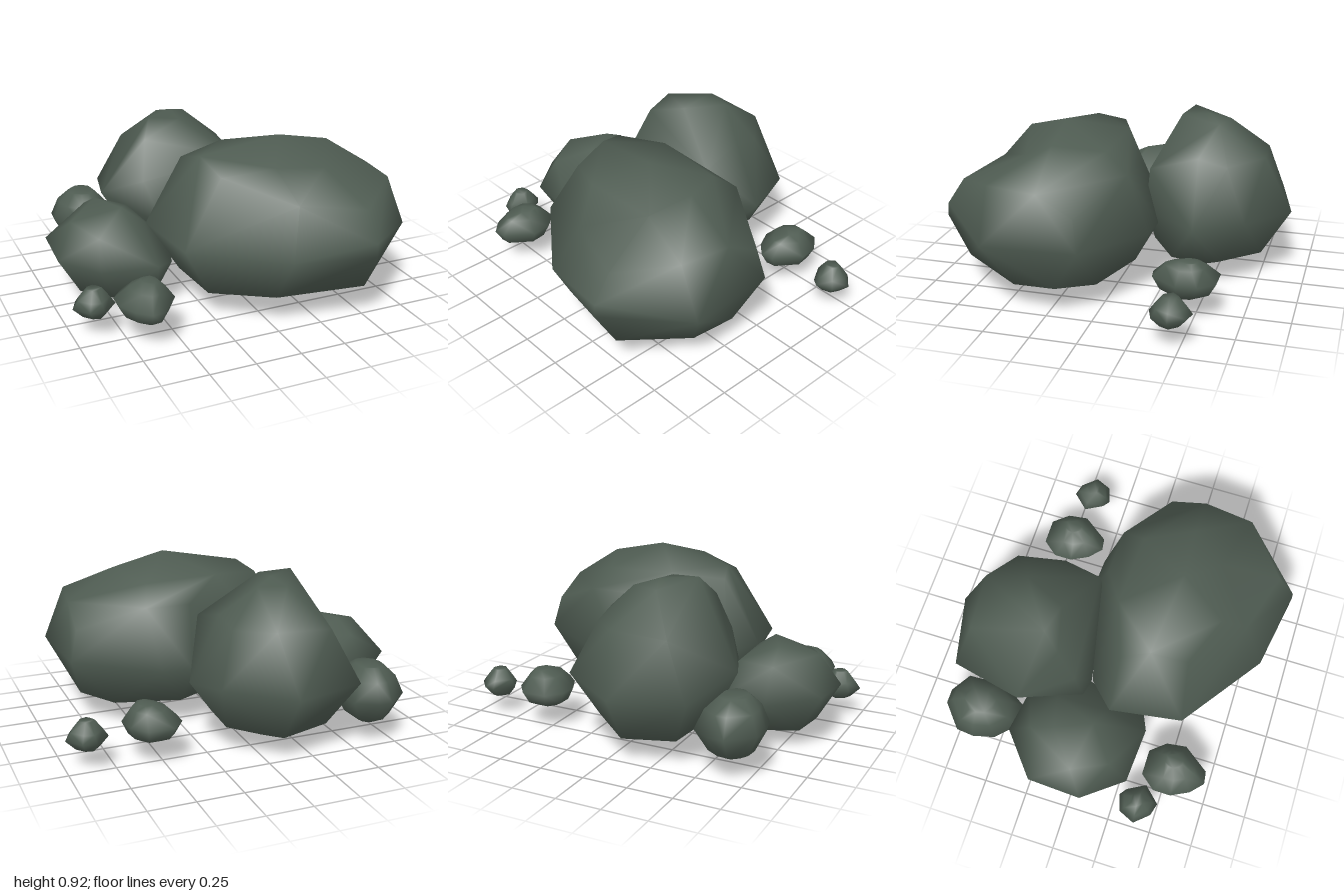
import * as THREE from 'three';
import { mergeVertices } from 'three/addons/utils/BufferGeometryUtils.js';
import { ConvexGeometry } from 'three/addons/geometries/ConvexGeometry.js';

const stone = new THREE.MeshStandardMaterial({ color: 0x4f5c52 });
stone.name = 'mossy grey stone';

// Smooth-shaded boulder wrapped around its corner points; each dent is a
// pair of points: the corner at the first is pressed in to the second
function rock(name, corners, dents = []) {
  const hull = new ConvexGeometry(corners.map((p) => new THREE.Vector3(...p)));
  hull.deleteAttribute('normal');
  const geometry = mergeVertices(hull, 0.001);
  const position = geometry.attributes.position;
  const v = new THREE.Vector3();
  for (const [from, to] of dents) {
    const target = new THREE.Vector3(...from);
    for (let i = 0; i < position.count; i++) {
      if (v.fromBufferAttribute(position, i).distanceTo(target) < 0.005) position.setXYZ(i, ...to);
    }
  }
  geometry.computeVertexNormals();
  const mesh = new THREE.Mesh(geometry, stone);
  mesh.name = name;
  return mesh;
}

// Corner points of a pebble: one outline repeated at several heights [y, scale, dx, dz]
function stack(outline, levels) {
  return levels.flatMap(([y, s, dx = 0, dz = 0]) =>
    outline.map(([x, z]) => [x * s + dx, y, z * s + dz]));
}

export function createModel() {
  const group = new THREE.Group();
  group.name = 'rockPile';

  // Large front boulder: belly, shoulders, crown, underside, chipped shoulder
  group.add(rock('largeBoulder', [
    [-0.49, 0.45, 0.10], [-0.35, 0.42, -0.04], [0.22, 0.37, -0.22], [0.39, 0.37, -0.21],
    [0.83, 0.40, 0.05], [0.86, 0.40, 0.56], [0.48, 0.47, 0.90], [0.48, 0.40, 0.905],
    [0.04, 0.41, 0.83], [-0.42, 0.42, 0.50],
    [0.14, 0.75, 0.74], [0.40, 0.83, 0.57], [0.74, 0.71, 0.57], [0.48, 0.64, 0.82],
    [0.78, 0.68, 0.28], [0.79, 0.57, 0.08], [0.20, 0.71, -0.12], [0.45, 0.71, -0.11],
    [0.21, 0.92, 0.30], [0.06, 0.83, 0.56], [0.51, 0.855, 0.28], [-0.23, 0.84, 0.25],
    [-0.28, 0.80, 0.10], [0.00, 0.83, 0.00], [0.40, 0.81, 0.02], [-0.20, 0.78, 0.45],
    [0.12, 0.04, 0.30], [0.71, 0.14, 0.44], [0.75, 0.16, 0.20], [0.49, 0.18, 0.78],
    [0.01, 0.17, 0.70], [-0.27, 0.14, 0.45], [-0.32, 0.17, 0.15], [0.25, 0.15, -0.10], [0.60, 0.14, 0.02],
  ], [
    [[0.14, 0.75, 0.74], [0.13, 0.66, 0.70]],
    [[0.40, 0.83, 0.57], [0.40, 0.76, 0.47]],
    [[0.74, 0.71, 0.57], [0.74, 0.69, 0.56]],
    [[0.48, 0.64, 0.82], [0.48, 0.62, 0.80]],
  ]));

  // Tall boulder at the back
  group.add(rock('backBoulder', [
    [-0.48, 0.40, -0.82], [-0.09, 0.39, -0.91], [0.25, 0.42, -0.70], [0.32, 0.38, -0.43],
    [0.17, 0.42, -0.14], [-0.08, 0.40, -0.10], [-0.35, 0.40, -0.05], [-0.44, 0.42, -0.07], [-0.58, 0.46, -0.41],
    [-0.31, 0.91, -0.31], [-0.14, 0.895, -0.27], [-0.14, 0.91, -0.43], [-0.37, 0.81, -0.22],
    [-0.03, 0.88, -0.50], [-0.18, 0.88, -0.54], [-0.03, 0.71, -0.76], [0.15, 0.73, -0.42],
    [-0.34, 0.69, -0.74], [0.17, 0.66, -0.16], [-0.42, 0.60, -0.12], [0.14, 0.69, -0.58],
    [-0.10, 0.015, -0.43], [-0.08, 0.13, -0.75], [-0.36, 0.14, -0.68], [0.16, 0.15, -0.55],
    [0.14, 0.14, -0.28], [-0.12, 0.14, -0.12], [-0.40, 0.15, -0.30],
  ]));

  // Medium boulder on the side
  group.add(rock('sideBoulder', [
    [-0.97, 0.32, -0.22], [-0.73, 0.30, -0.42], [-0.48, 0.30, -0.38], [-0.30, 0.25, -0.10],
    [-0.41, 0.28, 0.28], [-0.50, 0.28, 0.32], [-0.81, 0.29, 0.30], [-0.98, 0.30, 0.08],
    [-0.88, 0.48, 0.00], [-0.70, 0.54, -0.15], [-0.61, 0.54, 0.05], [-0.50, 0.46, 0.10],
    [-0.72, 0.47, -0.28], [-0.78, 0.44, 0.19], [-0.50, 0.45, -0.20],
    [-0.60, 0, -0.03], [-0.86, 0.09, 0.05], [-0.84, 0.10, -0.18], [-0.70, 0.08, 0.20],
    [-0.45, 0.08, 0.16], [-0.34, 0.09, -0.03], [-0.55, 0.09, -0.28],
  ]));

  // Small round rock tucked behind
  const roundOutline = [[-0.17, 0], [-0.16, -0.10], [-0.03, -0.21], [0.05, -0.21], [0.16, -0.14],
    [0.17, 0.08], [0.08, 0.22], [-0.04, 0.22], [-0.14, 0.12]];
  const round = rock('smallRock', stack(roundOutline,
    [[0.10, 0.3], [0.14, 0.65], [0.26, 1], [0.36, 0.76], [0.42, 0.4]]));
  round.position.set(-0.65, 0, -0.61);
  group.add(round);

  // Oval pebbles, one on each side
  const ovalOutline = [[-0.15, -0.09], [-0.08, -0.175], [0.06, -0.175], [0.13, -0.09], [0.145, 0.02],
    [0.04, 0.165], [-0.03, 0.175], [-0.10, 0.11], [-0.15, 0.01]];
  const ovalLevels = [[0.12, 0.45], [0.15, 0.78], [0.22, 1], [0.29, 0.6, 0.01], [0.32, 0.28, 0.025, -0.02]];
  for (const [x, z] of [[-0.65, 0.545], [0.55, -0.445]]) {
    const pebble = rock('ovalPebble', stack(ovalOutline, ovalLevels));
    pebble.position.set(x, 0, z);
    group.add(pebble);
  }

  // Tiny outermost pebbles, turned half round from each other
  const tinyOutline = [[-0.12, 0.01], [-0.08, -0.08], [0.01, -0.11], [0.05, -0.08], [0.105, 0.02],
    [0.02, 0.11], [-0.05, 0.09]];
  const tinyLevels = [[0.115, 0.55], [0.17, 1], [0.21, 0.75], [0.265, 0.36]];
  for (const [x, z, turn] of [[-0.88, 0.39, 0], [0.88, -0.445, Math.PI]]) {
    const pebble = rock('tinyPebble', stack(tinyOutline, tinyLevels));
    pebble.position.set(x, 0, z);
    pebble.rotation.y = turn;
    group.add(pebble);
  }

  return group;
}
